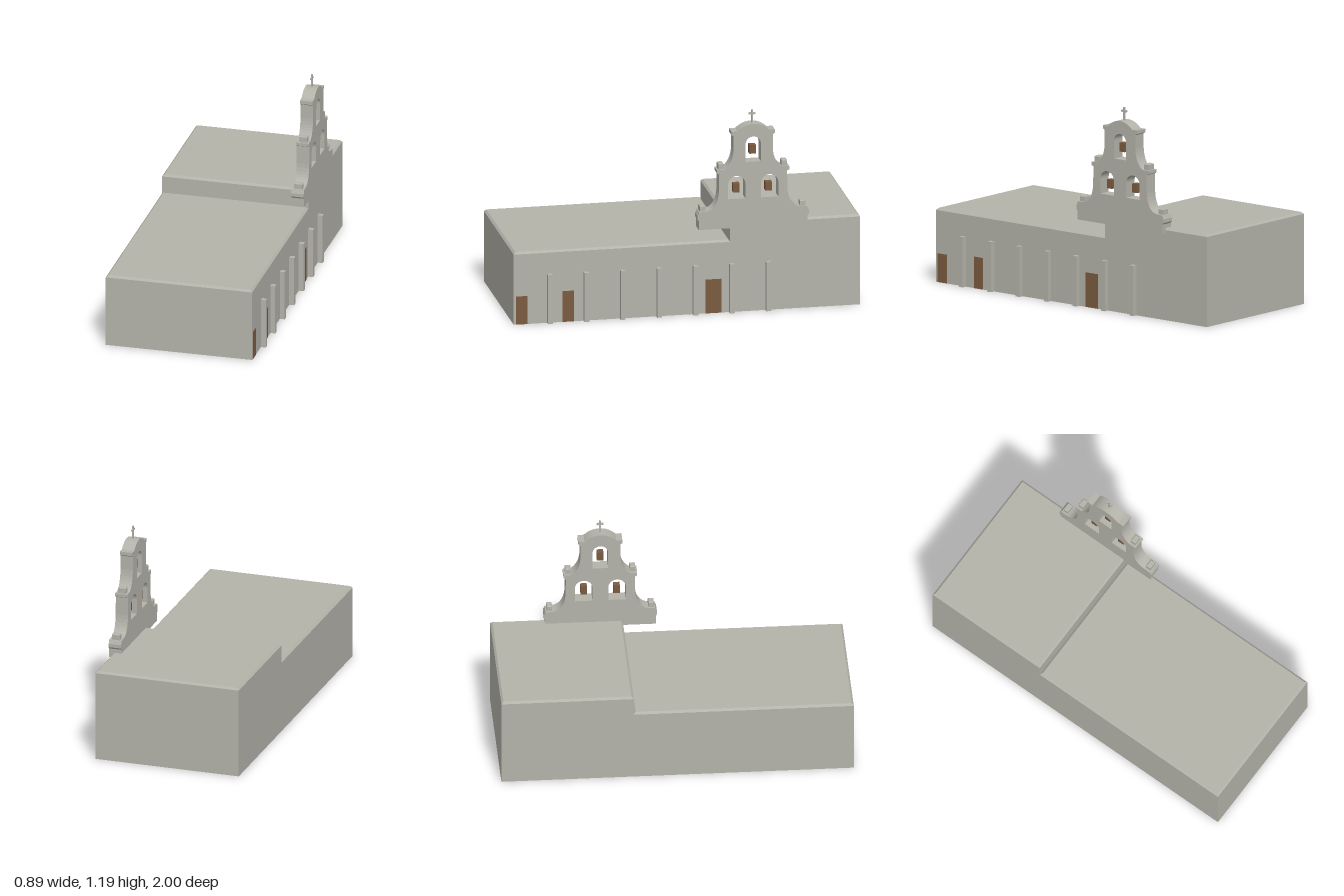
import * as THREE from 'three';

const stone = new THREE.MeshStandardMaterial({ color: 0xb4b3aa, side: THREE.DoubleSide });
stone.name = 'stone';
const wood = new THREE.MeshStandardMaterial({ color: 0x7a5b40 });
wood.name = 'wood';

// Open-bottomed block with a chamfered top edge, built from three rectangular rings
function chamferedShell(x0, x1, y0, y1, z0, z1, c) {
  const ring = (y, i) => [[x0 + i, y, z1 - i], [x1 - i, y, z1 - i], [x1 - i, y, z0 + i], [x0 + i, y, z0 + i]];
  const rings = [ring(y0, 0), ring(y1 - c, 0), ring(y1, c)];
  const pos = [];
  const quad = (a, b, d, e) => pos.push(...a, ...b, ...d, ...a, ...d, ...e);
  for (let r = 0; r < 2; r++) {
    for (let k = 0; k < 4; k++) {
      const n = (k + 1) % 4;
      quad(rings[r][k], rings[r][n], rings[r + 1][n], rings[r + 1][k]);
    }
  }
  quad(...rings[2]);
  const g = new THREE.BufferGeometry();
  g.setAttribute('position', new THREE.Float32BufferAttribute(pos, 3));
  g.computeVertexNormals();
  return g;
}

// Outline of the bell gable; shape x runs along the building's z
function gableShape() {
  const s = new THREE.Shape();
  const half = new THREE.Path();
  half.moveTo(0.314, 0.503);
  half.lineTo(0.314, 0.555);
  half.lineTo(0.321, 0.565);
  half.lineTo(0.321, 0.585);
  half.lineTo(0.311, 0.607);
  half.lineTo(0.27, 0.609);
  half.quadraticCurveTo(0.205, 0.62, 0.198, 0.72);
  half.lineTo(0.196, 0.825);
  half.lineTo(0.209, 0.832);
  half.lineTo(0.209, 0.85);
  half.lineTo(0.168, 0.852);
  half.quadraticCurveTo(0.118, 0.88, 0.113, 0.965);
  half.lineTo(0.113, 1.045);
  half.lineTo(0.125, 1.053);
  half.lineTo(0.125, 1.073);
  half.lineTo(0.09, 1.073);
  half.quadraticCurveTo(0.05, 1.112, 0, 1.112);
  const pts = half.getPoints(8);
  const mirrored = pts.slice(0, -1).reverse().map((p) => new THREE.Vector2(-p.x, p.y));
  s.setFromPoints([...pts, ...mirrored]);
  // Arched bell openings
  const arch = (u, y0, y1, r) => {
    const h = new THREE.Path();
    h.moveTo(u - r, y0);
    h.lineTo(u - r, y1 - r);
    h.absarc(u, y1 - r, r, Math.PI, 0, true);
    h.lineTo(u + r, y0);
    h.closePath();
    s.holes.push(h);
  };
  arch(-0.095, 0.675, 0.81, 0.05);
  arch(0.095, 0.675, 0.81, 0.05);
  arch(0, 0.89, 1.038, 0.044);
  return s;
}

export function createModel() {
  const model = new THREE.Group();
  model.name = 'missionChurch';

  const add = (parent, name, geometry, material, x = 0, y = 0, z = 0) => {
    const m = new THREE.Mesh(geometry, material);
    m.name = name;
    m.position.set(x, y, z);
    parent.add(m);
    return m;
  };

  // Main halls
  add(model, 'frontHall', chamferedShell(-0.443, 0.414, 0, 0.427, -0.25, 1, 0.012), stone);
  add(model, 'rearHall', chamferedShell(-0.443, 0.414, 0, 0.532, -1, -0.25, 0.012), stone);

  // Pilasters along the left wall
  for (let i = 0; i < 7; i++) {
    add(model, 'pilaster', new THREE.BoxGeometry(0.029, 0.29, 0.028), stone, 0.4285, 0.145, 0.793 - i * 0.21);
  }

  // Doors: centre z, width, height
  for (const [z, w, h] of [[0.953, 0.066, 0.166], [0.686, 0.065, 0.182], [-0.152, 0.092, 0.2]]) {
    add(model, 'door', new THREE.BoxGeometry(0.004, h, w), wood, 0.414, h / 2, z);
  }

  // Bell gable
  const belfry = new THREE.Group();
  belfry.name = 'bellGable';
  belfry.position.set(0.4, 0, -0.378);
  model.add(belfry);
  const wall = new THREE.ExtrudeGeometry(gableShape(), { depth: 0.074, bevelEnabled: false, curveSegments: 12 });
  wall.translate(0, 0, -0.037);
  wall.rotateY(-Math.PI / 2);
  add(belfry, 'gableWall', wall, stone);

  // Pinnacles on both shoulders
  for (const side of [-1, 1]) {
    for (const [u, y] of [[0.289, 0.604], [0.183, 0.849]]) {
      add(belfry, 'pinnacle', chamferedShell(-0.024, 0.024, 0, 0.037, -0.016, 0.016, 0.005), stone, 0, y, side * u);
    }
  }

  // Bells
  for (const [u, y] of [[-0.093, 0.733], [0.093, 0.733], [0, 0.957]]) {
    add(belfry, 'bell', new THREE.BoxGeometry(0.037, 0.052, 0.037), wood, 0, y, u);
  }

  // Cross
  add(belfry, 'crossPost', new THREE.BoxGeometry(0.009, 0.08, 0.009), stone, 0, 1.147, 0);
  add(belfry, 'crossArm', new THREE.BoxGeometry(0.009, 0.011, 0.04), stone, 0, 1.165, 0);

  return model;
}
